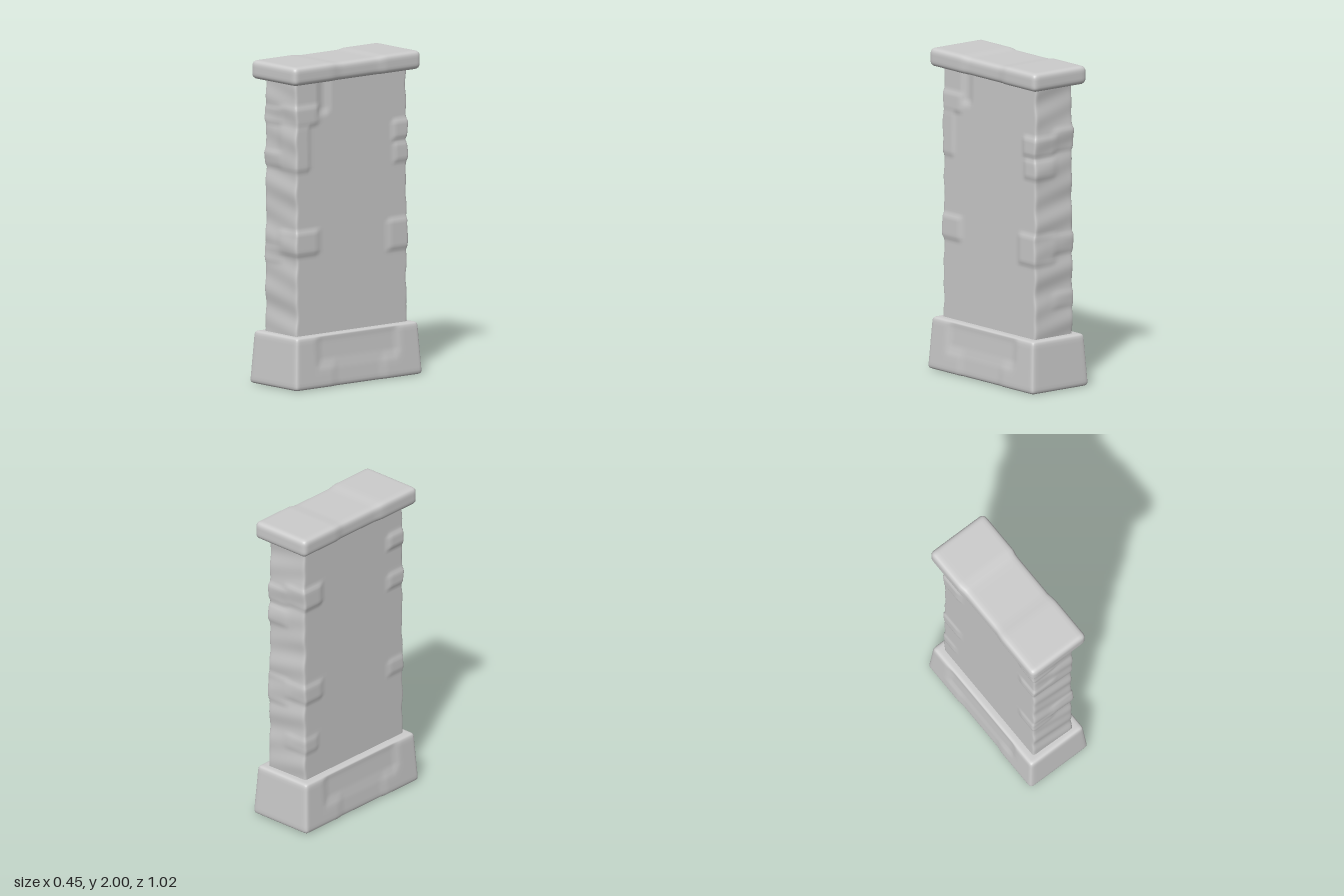
import * as THREE from 'three';
import { mergeVertices } from 'three/addons/utils/BufferGeometryUtils.js';

const stone = new THREE.MeshStandardMaterial({ color: 0xcccccc });
stone.name = 'grey stone';

// Smooth window: 1 inside [a, b], fading to 0 over f outside it
const band = (v, a, b, f) =>
  THREE.MathUtils.smoothstep(v, a - f, a) * (1 - THREE.MathUtils.smoothstep(v, b, b + f));

// Rounded block between two heights, reshaped by a rule on each point
function block(name, hx, y0, y1, hz, r, segments, rule) {
  const raw = new THREE.BoxGeometry(2, 2, 2, ...segments);
  raw.deleteAttribute('uv');
  raw.deleteAttribute('normal');
  const geo = mergeVertices(raw);
  const pos = geo.attributes.position;
  const half = new THREE.Vector3(hx, (y1 - y0) / 2, hz);
  const inner = half.clone().subScalar(r);
  const p = new THREE.Vector3(), core = new THREE.Vector3();
  const crowd = (t) => Math.sin(t * Math.PI / 2);
  for (let i = 0; i < pos.count; i++) {
    p.fromBufferAttribute(pos, i);
    p.set(crowd(p.x), segments[1] > 40 ? p.y : crowd(p.y), crowd(p.z)).multiply(half);
    core.copy(p).clamp(inner.clone().negate(), inner);
    p.sub(core).normalize().multiplyScalar(r).add(core);
    p.y += (y0 + y1) / 2;
    rule(p);
    pos.setXYZ(i, p.x, p.y, p.z);
  }
  geo.computeVertexNormals();
  const mesh = new THREE.Mesh(geo, stone);
  mesh.name = name;
  return mesh;
}

// Raised corner stones: side x, side z, bottom, top, reach along the wall, height
const quoins = [
  [1, 1, 0.84, 0.95, 0.16, 0.009], [1, 1, 1.36, 1.6, 0.09, 0.007], [1, 1, 1.64, 1.72, 0.16, 0.008],
  [1, -1, 0.8, 0.95, 0.14, 0.009], [1, -1, 1.34, 1.42, 0.09, 0.008], [1, -1, 1.48, 1.56, 0.1, 0.01],
  [-1, 1, 0.78, 0.84, 0.12, 0.007], [-1, 1, 1.37, 1.43, 0.12, 0.009], [-1, 1, 1.64, 1.7, 0.12, 0.011],
  [-1, -1, 0.86, 0.94, 0.14, 0.008], [-1, -1, 1.5, 1.6, 0.14, 0.01], [-1, -1, 0.52, 0.58, 0.1, 0.006],
];

function weatherShaft(p) {
  const taper = 1.035 - 0.05 * (p.y - 0.3) / 1.6;
  let dx = 0, dz = 0;
  for (const [sx, sz, a, b, reach, h] of quoins) {
    const k = h * band(p.y, a, b, 0.035);
    dx += sx * k * band(p.x * sx, 0.08, 1, 0.06) * band(p.z * sz, 0.445 - reach, 1, 0.03);
    dz += sz * k * 0.7 * band(p.z * sz, 0.4, 1, 0.04) * band(p.x * sx, 0.02, 1, 0.05);
  }
  // Gentle courses worn into the narrow ends
  const end = band(Math.abs(p.z), 0.4, 1, 0.06);
  dz += Math.sign(p.z) * end * 0.003 * (Math.sin(p.y * 21 + p.z * 3) + Math.sin(p.y * 37 + p.x * 9));
  // Worn hollow near the top of the right face
  if (p.x > 0) dx -= 0.012 * band(p.z, 0.2, 0.24, 0.03) * band(p.y, 1.72, 1.9, 0.06);
  p.x = p.x * taper + dx;
  p.z += dz;
}

function weatherBase(p) {
  const k = 1 - p.y / 0.32;
  p.x *= 0.91 + 0.09 * k;
  p.z *= 0.96 + 0.04 * k;
  // Shallow chipped panel on each long face
  p.x -= Math.sign(p.x) * 0.01 * band(Math.abs(p.x), 0.15, 1, 0.03)
    * band(p.z, -0.3, 0.3, 0.04) * band(p.y, 0.16, 0.29, 0.04);
  p.x -= Math.sign(p.x) * 0.006 * band(Math.abs(p.x), 0.15, 1, 0.03)
    * band(p.z, -0.18, 0.18, 0.03) * band(p.y, 0, 0.12, 0.03);
}

function weatherCap(p) {
  // Slightly waisted middle third
  const mid = band(p.z, -0.17, 0.16, 0.03);
  p.x -= Math.sign(p.x) * 0.008 * mid * band(Math.abs(p.x), 0.15, 1, 0.04);
  if (p.y > 1.95) p.y -= 0.006 * mid;
}

export function createModel() {
  const model = new THREE.Group();
  model.name = 'stonePillar';
  model.add(
    block('base', 0.225, 0, 0.325, 0.51, 0.025, [18, 16, 44], weatherBase),
    block('shaft', 0.146, 0.28, 1.92, 0.444, 0.016, [18, 110, 48], weatherShaft),
    block('cap', 0.21, 1.885, 2, 0.51, 0.033, [18, 12, 44], weatherCap),
  );
  return model;
}
